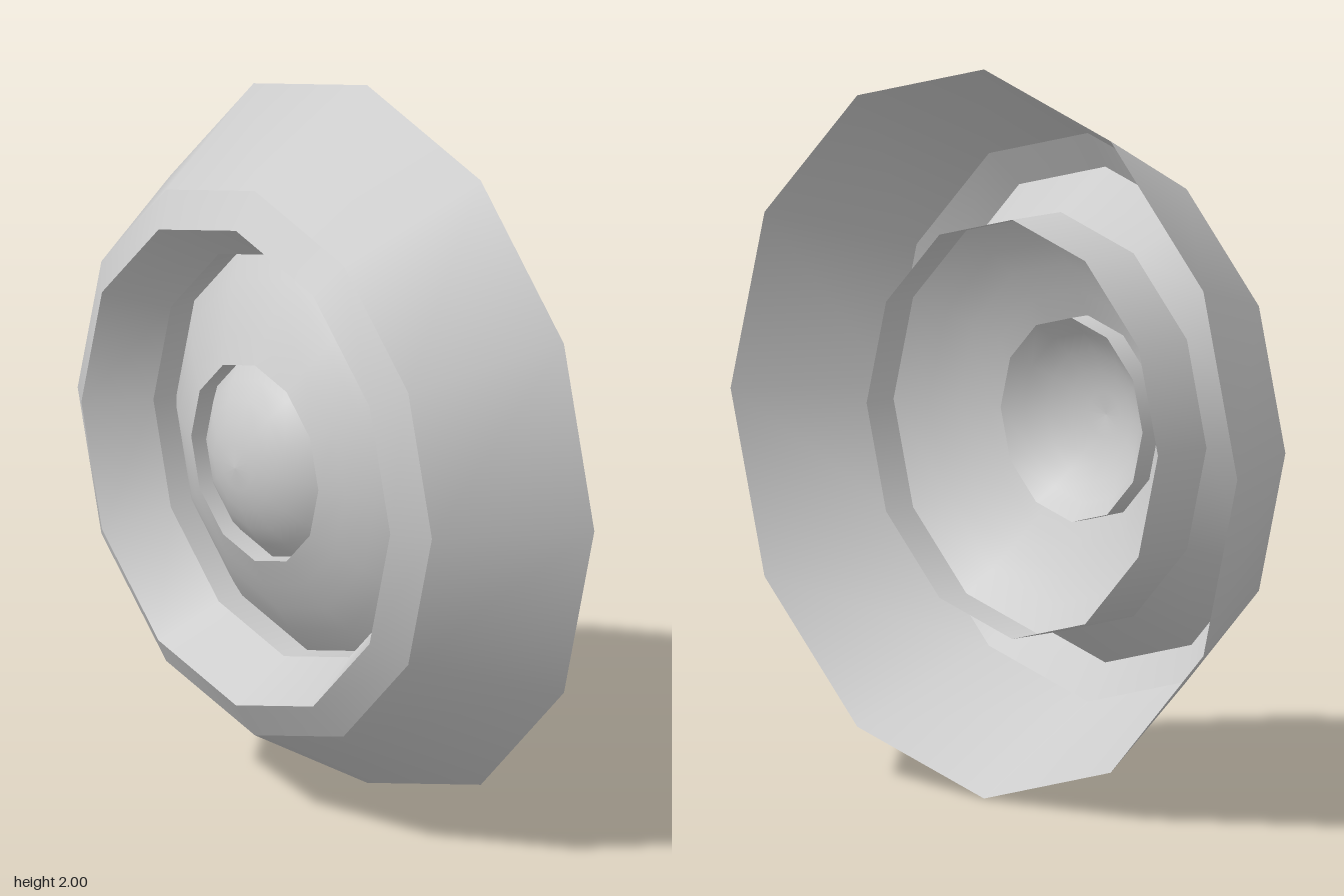
import * as THREE from 'three';

const SIDES = 12;

export function createModel() {
  const model = new THREE.Group();
  model.name = 'speakerDriver';
  const material = new THREE.MeshStandardMaterial({ color: 0xcccccc, side: THREE.DoubleSide });

  // Revolves [radius, z] points around the front-facing axis
  function ring(name, profile) {
    const geometry = new THREE.LatheGeometry(profile.map(([r, z]) => new THREE.Vector2(r, z)), SIDES);
    geometry.rotateX(Math.PI / 2);
    const mesh = new THREE.Mesh(geometry, material);
    mesh.name = name;
    mesh.position.y = 1;
    model.add(mesh);
  }

  // Outer housing: wide flare and bevelled front lip
  ring('flare', [[1, -0.225], [0.78, 0.16]]);
  ring('bevel', [[0.78, 0.16], [0.68, 0.225]]);

  // Surround sloping into the inner sleeve
  ring('surround', [[0.68, 0.225], [0.575, 0.06]]);
  ring('sleeve', [[0.575, 0.06], [0.575, -0.12]]);

  // Raised cone with a short collar at its opening
  ring('cone', [[0.575, -0.02], [0.5, 0.04], [0.43, 0.085], [0.355, 0.125], [0.28, 0.16]]);
  ring('collar', [[0.28, 0.16], [0.28, 0.1]]);

  // Domed centre cap, a spherical arc from collar to apex
  const capRadius = 0.28, base = 0.1, rise = 0.128;
  const sphere = (capRadius ** 2 + rise ** 2) / (2 * rise);
  const sweep = Math.asin(capRadius / sphere);
  const dome = [];
  for (let i = 0; i <= 5; i++) {
    const a = sweep * (1 - i / 5);
    dome.push([sphere * Math.sin(a), base + rise - sphere * (1 - Math.cos(a))]);
  }
  ring('dustCap', dome);

  return model;
}
